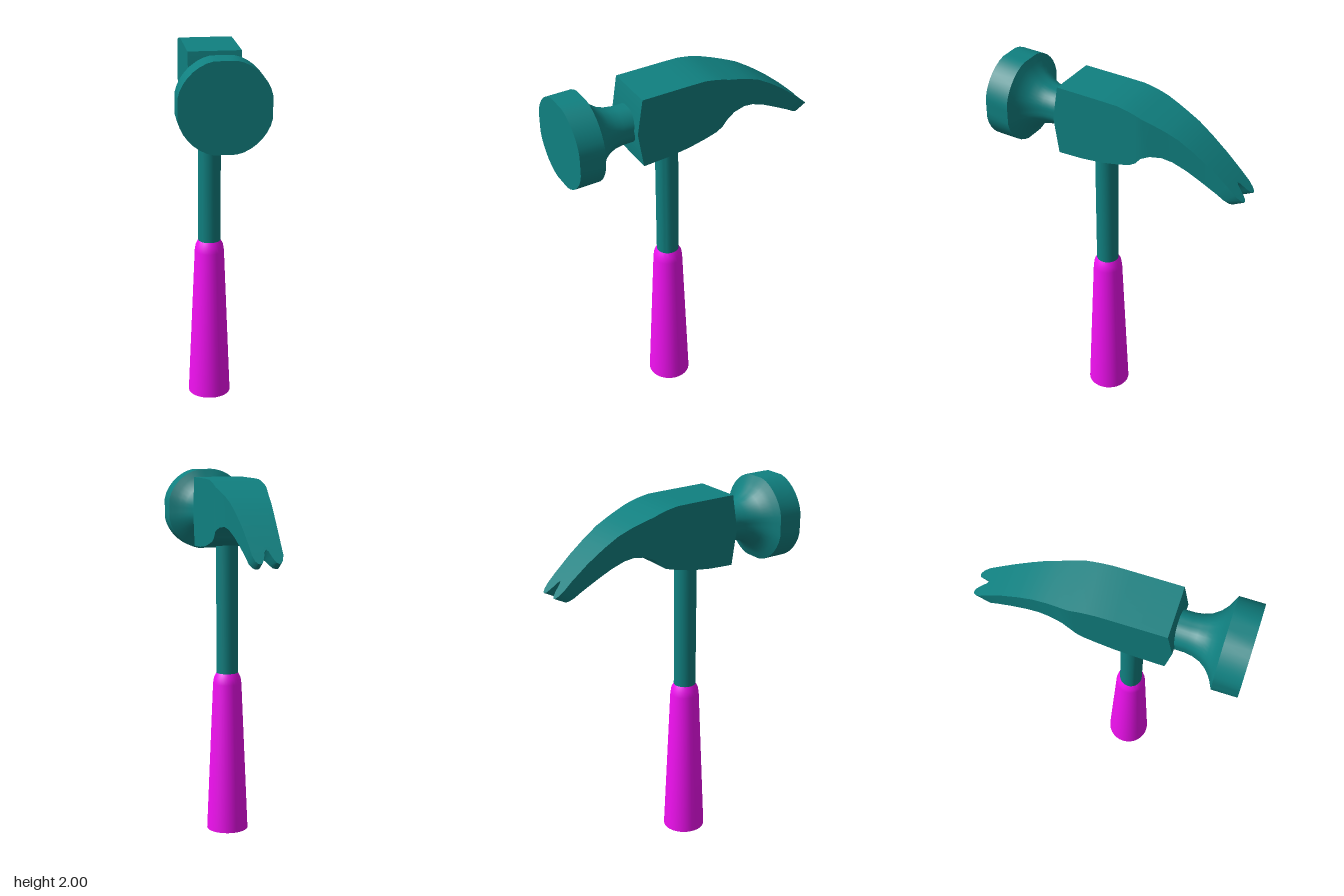
import * as THREE from 'three';
import { toCreasedNormals } from 'three/addons/utils/BufferGeometryUtils.js';

const steel = new THREE.MeshStandardMaterial({ color: 0x108080 });
const rubber = new THREE.MeshStandardMaterial({ color: 0xf010f0 });

// Skin equal-length rings that run clockwise seen from +z and advance towards -z.
// Point k of a ring lies straight above point n-1-k, so the ends close as strips.
function loft(rings) {
  const pos = [];
  const tri = (a, b, c) => {
    const area = b.clone().sub(a).cross(c.clone().sub(a)).length();
    if (area > 1e-8) for (const p of [a, b, c]) pos.push(p.x, p.y, p.z);
  };
  const quad = (a, b, c, d) => { tri(a, b, c); tri(a, c, d); };
  const n = rings[0].length;
  for (let i = 0; i < rings.length - 1; i++) {
    const r = rings[i], s = rings[i + 1];
    for (let k = 0; k < n; k++) {
      const j = (k + 1) % n;
      quad(r[k], r[j], s[j], s[k]);
    }
  }
  const first = rings[0], last = rings[rings.length - 1];
  for (let k = 0; k < n / 2 - 1; k++) {
    quad(first[k + 1], first[k], first[n - 1 - k], first[n - 2 - k]);
    quad(last[k], last[k + 1], last[n - 2 - k], last[n - 1 - k]);
  }
  const geo = new THREE.BufferGeometry();
  geo.setAttribute('position', new THREE.Float32BufferAttribute(pos, 3));
  return toCreasedNormals(geo, 0.55);
}

// Circle of radius r with slightly flattened top, bottom and sides
function roundRing(z, r, n = 40) {
  const flat = (v) => THREE.MathUtils.clamp(v * 1.035, -1, 1) * r;
  return Array.from({ length: n }, (_, k) => {
    const a = Math.PI - (k + 0.5) * 2 * Math.PI / n;
    return new THREE.Vector3(flat(Math.cos(a)), 1.775 + flat(Math.sin(a)), z);
  });
}

// Cheek and claw stations: top z, top y, bottom z, bottom y, half width
const STATIONS = [
  [0.35, 1.78, 0.35, 1.78, 0.135],
  [0.32, 1.968, 0.32, 1.588, 0.135],
  [0.18, 1.968, 0.18, 1.595, 0.135],
  [0.06, 1.968, 0.06, 1.61, 0.135],
  [-0.03, 1.967, -0.03, 1.63, 0.135],
  [-0.09, 1.957, -0.10, 1.65, 0.135],
  [-0.13, 1.947, -0.135, 1.672, 0.135],
  [-0.17, 1.934, -0.165, 1.708, 0.135],
  [-0.23, 1.915, -0.21, 1.729, 0.125],
  [-0.29, 1.893, -0.275, 1.738, 0.115],
  [-0.36, 1.863, -0.33, 1.727, 0.106],
  [-0.44, 1.813, -0.40, 1.698, 0.097],
  [-0.53, 1.748, -0.48, 1.655, 0.088],
  [-0.62, 1.672, -0.565, 1.608, 0.081],
  [-0.705, 1.592, -0.645, 1.56, 0.077],
];
// Columns across the half width, and how far each reaches at the forked tip
const COLUMNS = [0, 0.12, 0.28, 0.44, 0.6, 0.75, 0.9, 1];
const REACH = [0.2, 0.32, 0.68, 0.93, 1, 0.98, 0.82, 0.5];

function clawRings() {
  const across = [];
  for (let i = COLUMNS.length - 1; i > 0; i--) across.push([-COLUMNS[i], REACH[i]]);
  COLUMNS.forEach((u, i) => across.push([u, REACH[i]]));
  return STATIONS.map((s, i) => {
    const tip = i === STATIONS.length - 1;
    const top = [], bottom = [];
    for (const [u, reach] of across) {
      const q = tip ? s.map((v, j) => THREE.MathUtils.lerp(STATIONS[i - 1][j], v, reach)) : s;
      top.push(new THREE.Vector3(u * q[4], q[1], q[0]));
      bottom.unshift(new THREE.Vector3(u * q[4], q[3], q[2]));
    }
    return [...top, ...bottom];
  });
}

// Turned part on the handle axis, from [radius, y] points
function turned(points) {
  const geo = new THREE.LatheGeometry(points.map(([r, y]) => new THREE.Vector2(r, y)), 32);
  geo.translate(0, 0, 0.117);
  return toCreasedNormals(geo, 0.6);
}

export function createModel() {
  const group = new THREE.Group();
  const add = (name, geo, mat) => {
    const mesh = new THREE.Mesh(geo, mat);
    mesh.name = name;
    group.add(mesh);
  };

  // Handle
  add('grip', turned([[0, 0], [0.115, 0], [0.079, 0.84], [0.074, 0.872], [0.06, 0.9], [0, 0.9]]), rubber);
  add('shaft', turned([[0, 0.88], [0.06, 0.88], [0.06, 1.7], [0, 1.7]]), steel);

  // Striking face flaring out of the neck
  const profile = [[0.705, 0.225], [0.572, 0.225], [0.555, 0.192], [0.54, 0.168], [0.515, 0.14],
    [0.48, 0.116], [0.44, 0.102], [0.4, 0.096], [0.3, 0.095]];
  add('strikingFace', loft(profile.map(([z, r]) => roundRing(z, r))), steel);

  // Cheek tapering into the forked claw
  add('claw', loft(clawRings()), steel);
  return group;
}
